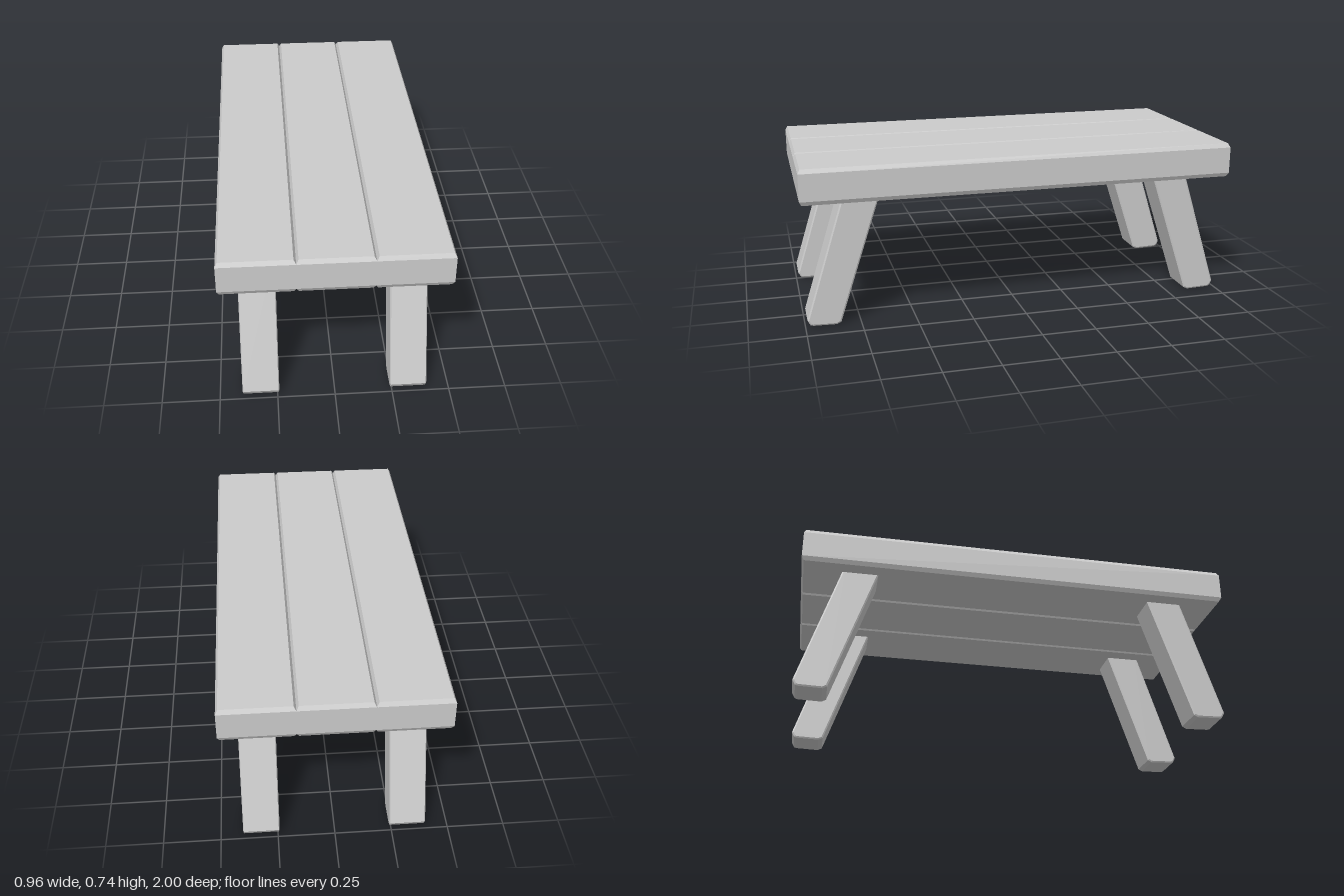
import * as THREE from 'three';

const material = new THREE.MeshStandardMaterial({ color: 0xcccccc, flatShading: true });

// Plank: a box whose top and bottom edges are chamfered
function plankGeometry(width, height, length, inset, drop) {
  const geo = new THREE.BoxGeometry(width, height, length, 1, 3, 1);
  const p = geo.attributes.position;
  for (let i = 0; i < p.count; i++) {
    const y = p.getY(i);
    if (Math.abs(y) > height * 0.4) {
      p.setX(i, p.getX(i) - Math.sign(p.getX(i)) * inset);
      p.setZ(i, p.getZ(i) - Math.sign(p.getZ(i)) * inset);
    } else {
      p.setY(i, Math.sign(y) * (height / 2 - drop));
    }
  }
  geo.computeVertexNormals();
  return geo;
}

// Leg: slanted side profile (z, y) extruded across its width, with chamfered edges
function legGeometry(width) {
  const profile = [[0.84, 0.01], [0.86, 0], [0.965, 0.003], [0.977, 0.007],
    [0.99, 0.03], [0.804, 0.62], [0.638, 0.62]];
  const shape = new THREE.Shape(profile.map(([z, y]) => new THREE.Vector2(z, y)));
  const bevel = 0.004;
  const geo = new THREE.ExtrudeGeometry(shape, {
    depth: width - 2 * bevel, bevelEnabled: true, bevelSegments: 1,
    bevelThickness: bevel, bevelSize: 0.007, bevelOffset: -0.007,
  });
  geo.translate(0, 0, -(width / 2 - bevel));
  geo.rotateY(-Math.PI / 2);
  return geo;
}

export function createModel() {
  const table = new THREE.Group();
  table.name = 'table';

  // Three planks side by side form the top
  const plankGeo = plankGeometry(0.321, 0.16, 2, 0.01, 0.019);
  ['rightPlank', 'middlePlank', 'leftPlank'].forEach((name, i) => {
    const plank = new THREE.Mesh(plankGeo, material);
    plank.name = name;
    plank.position.set((i - 1) * 0.321, 0.664, 0);
    table.add(plank);
  });

  // Four legs splayed towards the ends
  const legGeo = legGeometry(0.16);
  for (const end of ['front', 'back']) {
    for (const side of [1, -1]) {
      const leg = new THREE.Mesh(legGeo, material);
      leg.name = end + (side > 0 ? 'Left' : 'Right') + 'Leg';
      leg.position.x = side * 0.322;
      if (end === 'back') leg.rotation.y = Math.PI;
      table.add(leg);
    }
  }
  return table;
}
